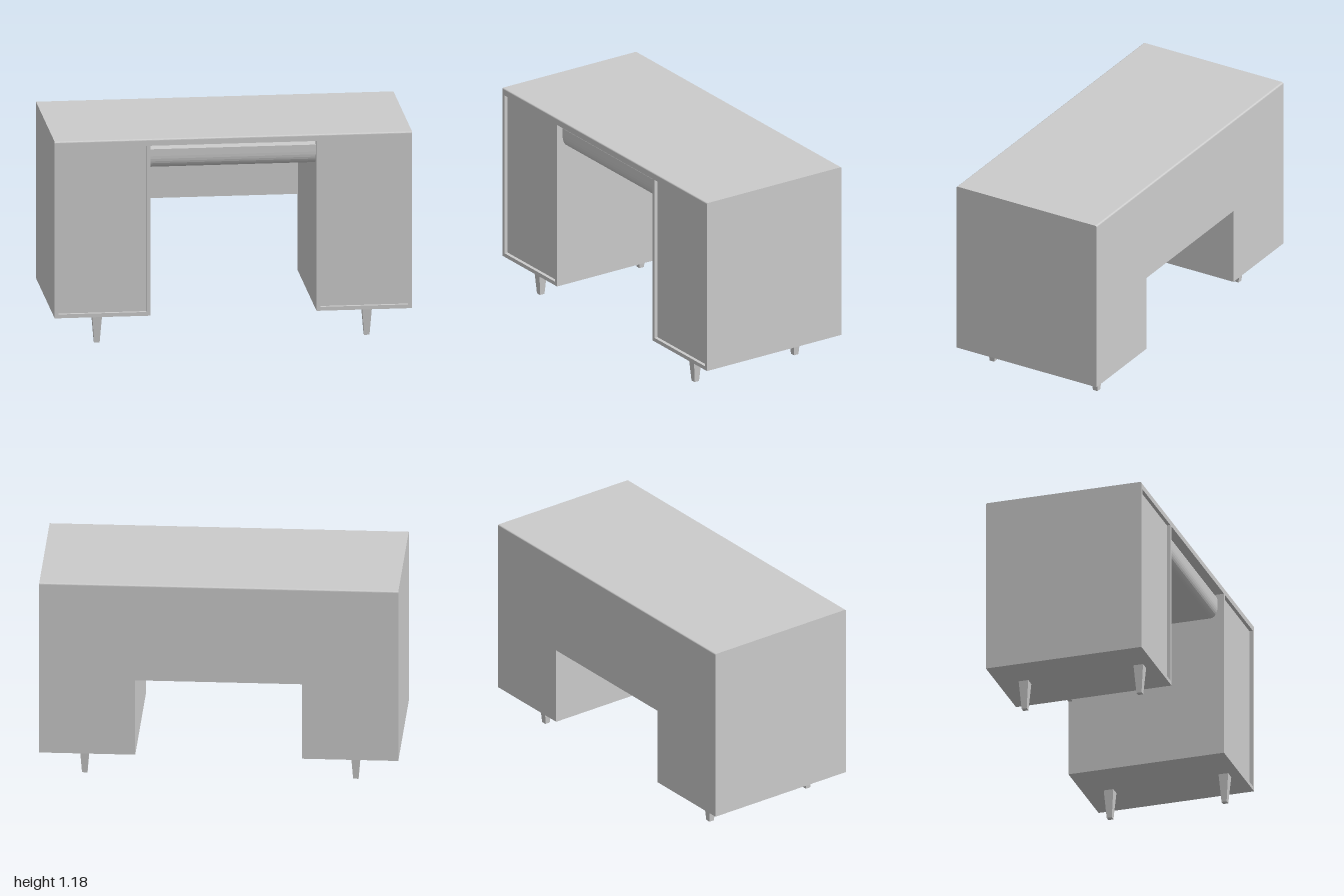
import * as THREE from 'three';

const material = new THREE.MeshStandardMaterial({ color: 0xcccccc });
const HALF_DEPTH = 0.455, TOP = 1.178, SLAB = 1.14, FLOOR = 0.165, INNER = 0.465;
const RECESS = 0.02;

function add(parent, name, geometry, x = 0, y = 0, z = 0) {
  const mesh = new THREE.Mesh(geometry, material);
  mesh.name = name;
  mesh.position.set(x, y, z);
  parent.add(mesh);
  return mesh;
}

// Extrudes a (z, y) side profile across the width, centred on x = 0
function acrossWidth(shape, width) {
  const g = new THREE.ExtrudeGeometry(shape, { depth: width, bevelEnabled: false, curveSegments: 8 });
  g.translate(0, 0, -width / 2);
  g.rotateY(-Math.PI / 2);
  return g;
}

function rectangle(Type, x0, y0, x1, y1) {
  const r = new Type();
  r.moveTo(x0, y0);
  r.lineTo(x1, y0);
  r.lineTo(x1, y1);
  r.lineTo(x0, y1);
  r.closePath();
  return r;
}

// Square leg tapering to the foot
function legGeometry() {
  const g = new THREE.CylinderGeometry(0.028 * Math.SQRT2, 0.015 * Math.SQRT2, FLOOR, 4, 1);
  g.rotateY(Math.PI / 4);
  const flat = g.toNonIndexed();
  flat.computeVertexNormals();
  return flat;
}

export function createModel() {
  const desk = new THREE.Group();
  desk.name = 'desk';

  // Desk top with softened long edges
  const d = HALF_DEPTH, c = 0.01;
  const slab = new THREE.Shape();
  slab.moveTo(-d, SLAB);
  slab.lineTo(d, SLAB);
  slab.lineTo(d, TOP - c);
  slab.quadraticCurveTo(d, TOP, d - c, TOP);
  slab.lineTo(-d + c, TOP);
  slab.quadraticCurveTo(-d, TOP, -d, TOP - c);
  slab.closePath();
  add(desk, 'deskTop', acrossWidth(slab, 2));

  // Pedestals: cabinet with a raised face frame around an inset door
  const width = 1 - INNER, height = SLAB - FLOOR, cabinetDepth = 2 * d - RECESS;
  const frame = rectangle(THREE.Shape, -width / 2, FLOOR, width / 2, SLAB);
  frame.holes.push(rectangle(THREE.Path, -width / 2 + 0.022, FLOOR + 0.022, width / 2 - 0.022, SLAB));
  const frameGeometry = new THREE.ExtrudeGeometry(frame, { depth: RECESS, bevelEnabled: false });
  const leg = legGeometry();
  for (const side of [1, -1]) {
    const pedestal = new THREE.Group();
    pedestal.name = side > 0 ? 'leftPedestal' : 'rightPedestal';
    pedestal.position.x = side * (1 + INNER) / 2;
    desk.add(pedestal);
    add(pedestal, 'cabinet', new THREE.BoxGeometry(width, height, cabinetDepth), 0, FLOOR + height / 2, -RECESS / 2);
    add(pedestal, 'doorFrame', frameGeometry, 0, 0, d - RECESS);
    add(pedestal, 'frontLeg', leg, side * 0.0225, FLOOR / 2, 0.365);
    add(pedestal, 'backLeg', leg, side * 0.0225, FLOOR / 2, -0.307);
  }

  // Back panel closing the upper part of the knee space
  add(desk, 'backPanel', new THREE.BoxGeometry(2 * INNER, SLAB - 0.61, 0.025), 0, (SLAB + 0.61) / 2, -d + 0.0125);

  // Centre drawer, its front rounding under at the bottom
  const drawer = new THREE.Shape();
  drawer.moveTo(-d + 0.025, 1.0);
  drawer.lineTo(0.375, 1.0);
  drawer.bezierCurveTo(0.4, 1.0, 0.418, 1.025, 0.418, 1.07);
  drawer.lineTo(0.418, 1.11);
  drawer.lineTo(0.41, 1.125);
  drawer.lineTo(0.395, 1.125);
  drawer.lineTo(0.395, SLAB);
  drawer.lineTo(-d + 0.025, SLAB);
  drawer.closePath();
  add(desk, 'drawer', acrossWidth(drawer, 2 * INNER));

  return desk;
}
